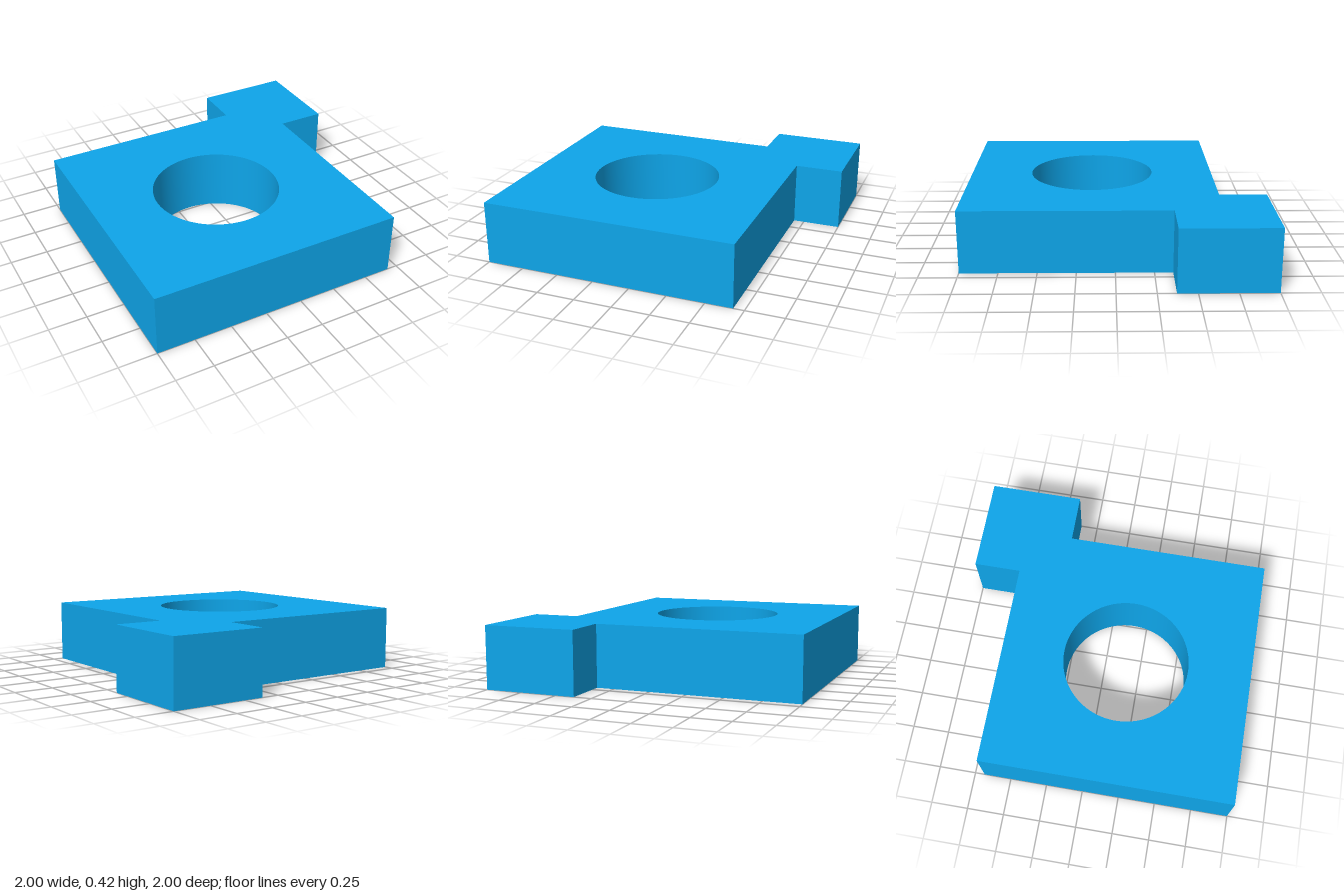
import * as THREE from 'three';
import { toCreasedNormals } from 'three/addons/utils/BufferGeometryUtils.js';

export function createModel() {
  const model = new THREE.Group();
  const height = 0.42;

  // Plan outline: square plate merged with a smaller square at its back left corner
  const outline = new THREE.Shape([
    [-1, -1], [0.68, -1], [0.68, 0.37], [1, 0.37],
    [1, 1], [0.37, 1], [0.37, 0.685], [-1, 0.685],
  ].map(([x, y]) => new THREE.Vector2(x, y)));

  // Round through hole in the middle of the plate
  const hole = new THREE.Path();
  hole.absarc(-0.16, -0.157, 0.422, 0, Math.PI * 2, true);
  outline.holes.push(hole);

  // Extrude, then lay flat on the ground
  const extruded = new THREE.ExtrudeGeometry(outline, {
    depth: height, bevelEnabled: false, curveSegments: 64,
  });
  extruded.rotateX(-Math.PI / 2);

  const plate = new THREE.Mesh(
    toCreasedNormals(extruded, 0.5),
    new THREE.MeshStandardMaterial({ color: 0x0ea5e9 }),
  );
  plate.name = 'plateWithCornerTabAndHole';
  model.add(plate);
  return model;
}
